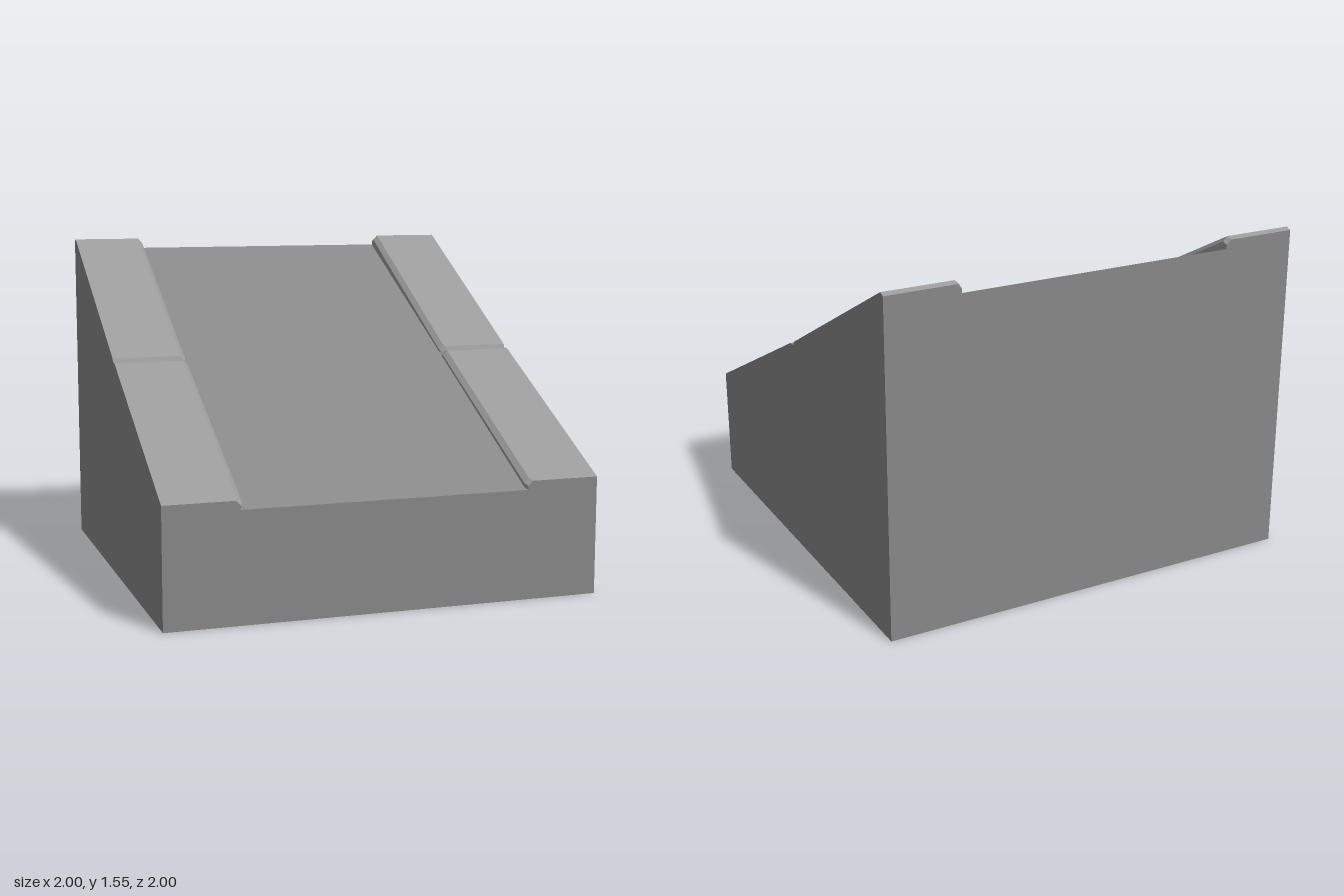
import * as THREE from 'three';

const bodyMaterial = new THREE.MeshStandardMaterial({ color: 0x888888, flatShading: true });
const curbMaterial = new THREE.MeshStandardMaterial({ color: 0x9b9b9b, flatShading: true });
const rampHeight = (z) => 1 - z / 2;

// Solid wedge: side profile extruded across the width
function createWedge() {
  const profile = new THREE.Shape([
    new THREE.Vector2(-1, 0),
    new THREE.Vector2(1, 0),
    new THREE.Vector2(1, rampHeight(-1)),
    new THREE.Vector2(-1, rampHeight(1)),
  ]);
  const geometry = new THREE.ExtrudeGeometry(profile, { depth: 2, bevelEnabled: false });
  geometry.translate(0, 0, -1);
  geometry.rotateY(Math.PI / 2); // profile x becomes -z
  const wedge = new THREE.Mesh(geometry, bodyMaterial);
  wedge.name = 'rampBody';
  return wedge;
}

// Curb stations from front to back: [z, top height, inner x]
const curbStations = [
  [1, 0.54, 0.66],
  [0.98, 0.55, 0.65],
  [0.035, 1.017, 0.65],
  [0.012, 1.018, 0.652],
  [0, 1.018, 0.662],
  [-0.008, 1.035, 0.655],
  [-0.025, 1.045, 0.65],
  [-0.975, 1.55, 0.65],
  [-1, 1.54, 0.652],
];

// Curb: chamfered cross-section lofted through the stations
function createCurb(side) {
  const sections = curbStations.map(([z, top, inner]) => [
    [inner, rampHeight(z)],
    [inner, top - 0.022],
    [inner + 0.022, top],
    [1, top],
    [1, rampHeight(z)],
  ].map(([x, y]) => [side * x, y, z]));

  const positions = [];
  const triangle = (a, b, c) => {
    const corners = side > 0 ? [a, b, c] : [a, c, b];
    corners.forEach((p) => positions.push(...p));
  };
  const strip = (j) => {
    for (let i = 0; i < sections.length - 1; i++) {
      const front = sections[i];
      const back = sections[i + 1];
      triangle(front[j], front[j + 1], back[j + 1]);
      triangle(front[j], back[j + 1], back[j]);
    }
  };

  // Inner side, chamfer and top in the lighter curb tone
  for (let j = 0; j < 3; j++) strip(j);
  const topCount = positions.length / 3;

  // Outer side and end caps continue the walls of the body
  strip(3);
  const first = sections[0];
  const last = sections[sections.length - 1];
  for (let k = 1; k < first.length - 1; k++) {
    triangle(first[0], first[k + 1], first[k]);
    triangle(last[0], last[k], last[k + 1]);
  }

  const geometry = new THREE.BufferGeometry();
  geometry.setAttribute('position', new THREE.Float32BufferAttribute(positions, 3));
  geometry.addGroup(0, topCount, 0);
  geometry.addGroup(topCount, positions.length / 3 - topCount, 1);
  geometry.computeVertexNormals();
  const curb = new THREE.Mesh(geometry, [curbMaterial, bodyMaterial]);
  curb.name = side > 0 ? 'leftCurb' : 'rightCurb';
  return curb;
}

export function createModel() {
  const model = new THREE.Group();
  model.name = 'curbedRamp';
  model.add(createWedge(), createCurb(1), createCurb(-1));
  return model;
}
